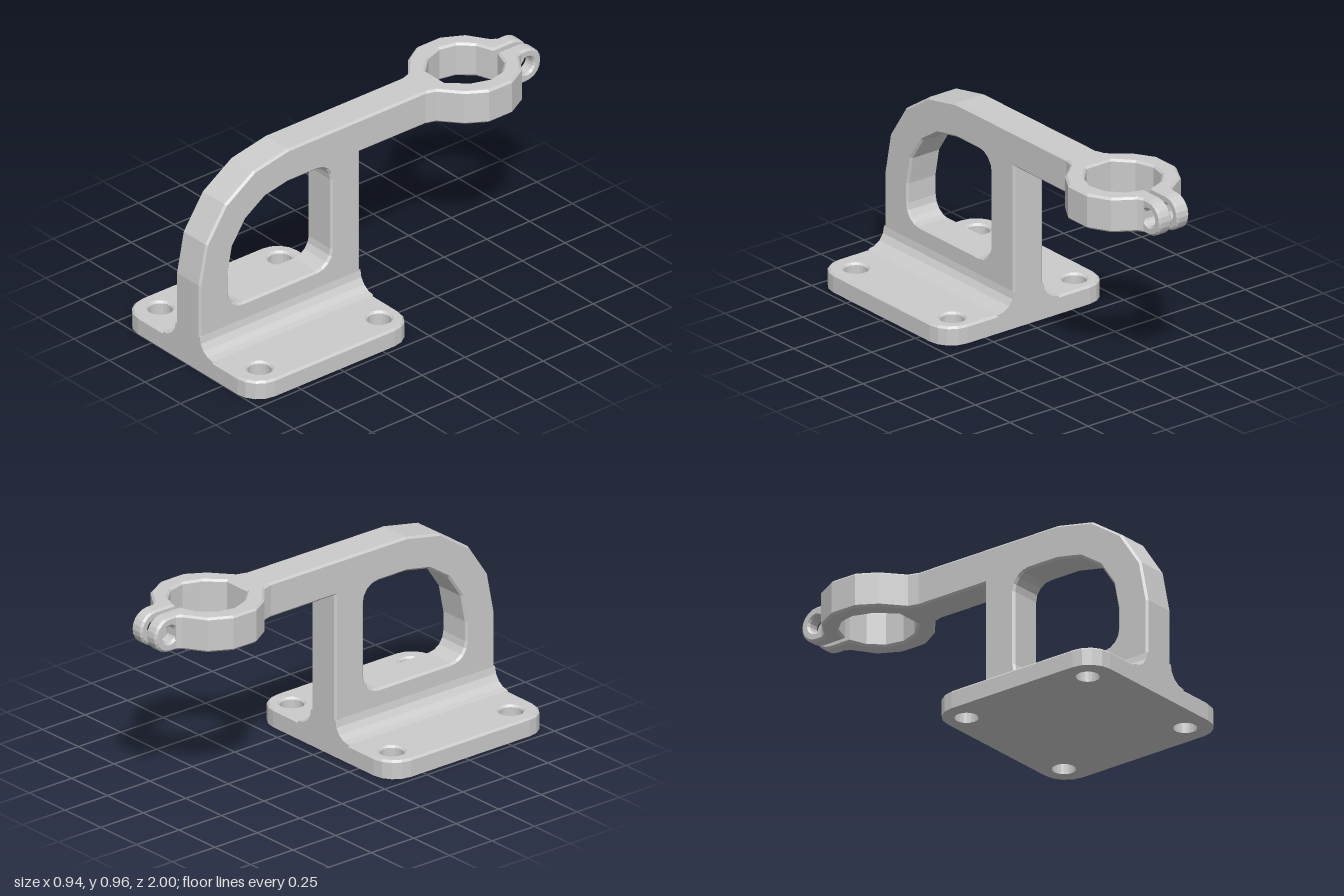
import * as THREE from 'three';

const material = new THREE.MeshStandardMaterial({ color: 0xcccccc, flatShading: true });

// Points along an arc, angles in degrees
function arc(cx, cy, r, from, to, n) {
  return Array.from({ length: n + 1 }, (_, i) => {
    const a = THREE.MathUtils.degToRad(from + ((to - from) * i) / n);
    return [cx + r * Math.cos(a), cy + r * Math.sin(a)];
  });
}

const circle = (cx, cy, r, n) => arc(cx, cy, r, 0, 360, n).slice(0, n);
const vectors = (pts) => pts.map(([u, v]) => new THREE.Vector2(u, v));

// Extrusion from 0 to depth whose chamfers stay inside the outline
function extrude(pts, holes, depth, bevel) {
  const shape = new THREE.Shape(vectors(pts));
  holes.forEach((h) => shape.holes.push(new THREE.Path(vectors(h))));
  return new THREE.ExtrudeGeometry(shape, {
    depth: depth - 2 * bevel, bevelEnabled: bevel > 0, bevelThickness: bevel,
    bevelSize: bevel, bevelOffset: -bevel, bevelSegments: 1,
  }).translate(0, 0, bevel);
}

// Side outline (z, y) extruded across x, centred on x
const sideways = (pts, holes, width, bevel, x = 0) =>
  extrude(pts, holes, width, bevel).translate(0, 0, -width / 2).rotateY(-Math.PI / 2).translate(x, 0, 0);

// Plan outline (x, -z) extruded upwards from y
const upwards = (pts, holes, height, bevel, y) =>
  extrude(pts, holes, height, bevel).rotateX(-Math.PI / 2).translate(0, y, 0);

export function createModel() {
  const group = new THREE.Group();
  const add = (name, geometry) => {
    geometry.computeVertexNormals();
    const mesh = new THREE.Mesh(geometry, material);
    mesh.name = name;
    group.add(mesh);
  };

  const B = 0.01; // chamfer
  const back = 0.06, front = 1, half = 0.085, low = 0.795, top = 0.965;

  // Base plate: rounded corners, four bolt holes, chamfer on the top only
  const w = 0.472, r = 0.12;
  const plate = [
    ...arc(w - r, -back - r, r, 90, 0, 4),
    ...arc(w - r, -front + r, r, 0, -90, 4),
    ...arc(-w + r, -front + r, r, -90, -180, 4),
    ...arc(-w + r, -back - r, r, 180, 90, 4),
  ].reverse();
  const bolts = [-0.35, 0.35].flatMap((x) => [0.17, 0.87].map((z) => circle(x, -z, 0.055, 20)));
  const plateGeometry = upwards(plate, bolts, 0.09 + B, B, -B);
  const p = plateGeometry.attributes.position;
  for (let i = 0; i < p.count; i++) p.setY(i, Math.max(0, p.getY(i)));
  add('basePlate', plateGeometry);

  // Concave fillets along both sides of the web
  const f = 0.09;
  const rightCurve = arc(half + f, 0.09 + f, f, 270, 180, 4);
  const fillet = [
    [-half - f, 0.05], [half + f, 0.05],
    ...rightCurve,
    ...rightCurve.map(([x, y]) => [-x, y]).reverse(),
  ];
  add('webFillets', extrude(fillet, [], front - back, 0).translate(0, 0, back));

  // Web: column, curved brace and arm around a rounded window
  const web = [
    [back, 0.03], [front, 0.03],
    ...arc(0.48, 0.443, 0.52, 0, 90, 4),
    [-0.36, top], [-0.36, low], [back, low],
  ];
  const cr = 0.085;
  const windowHole = [
    ...arc(0.23 + cr, 0.265 + cr, cr, 180, 270, 4),
    ...arc(0.83 - cr, 0.265 + cr, cr, 270, 360, 4),
    ...arc(0.48, 0.445, 0.35, 0, 90, 4),
    ...arc(0.23 + cr, 0.795 - cr, cr, 90, 180, 4),
  ];
  add('webAndArm', sideways(web, [windowHole], half * 2, B));

  // Split clamp ring, one half listed from the arm round to the slit and back
  const slit = 0.016;
  const ringHalf = [
    [half, 0.32], [0.1, 0.37], [0.2, 0.456], [0.257, 0.55], [0.257, 0.685], [0.2, 0.79],
    [0.1, 0.855], [half, 0.88], [slit, 0.88],
    [slit, 0.8], [0.1, 0.77], [0.16, 0.704], [0.178, 0.62], [0.147, 0.53], [0.07, 0.447],
  ];
  const ring = [...ringHalf, ...ringHalf.map(([x, v]) => [-x, v]).reverse()];
  add('clampRing', upwards(ring, [], top - low, B, low));

  // Clamp ears with a cross bolt hole
  const mid = (top + low) / 2, er = (top - low) / 2;
  const ear = [[-0.855, low], [-0.855, top], ...arc(-front + er, mid, er, 90, 270, 10)];
  for (const [name, side] of [['leftEar', 1], ['rightEar', -1]]) {
    const hole = circle(-front + er, mid, 0.04, 16);
    add(name, sideways(ear, [hole], half - slit, B, (side * (half + slit)) / 2));
  }

  return group;
}
